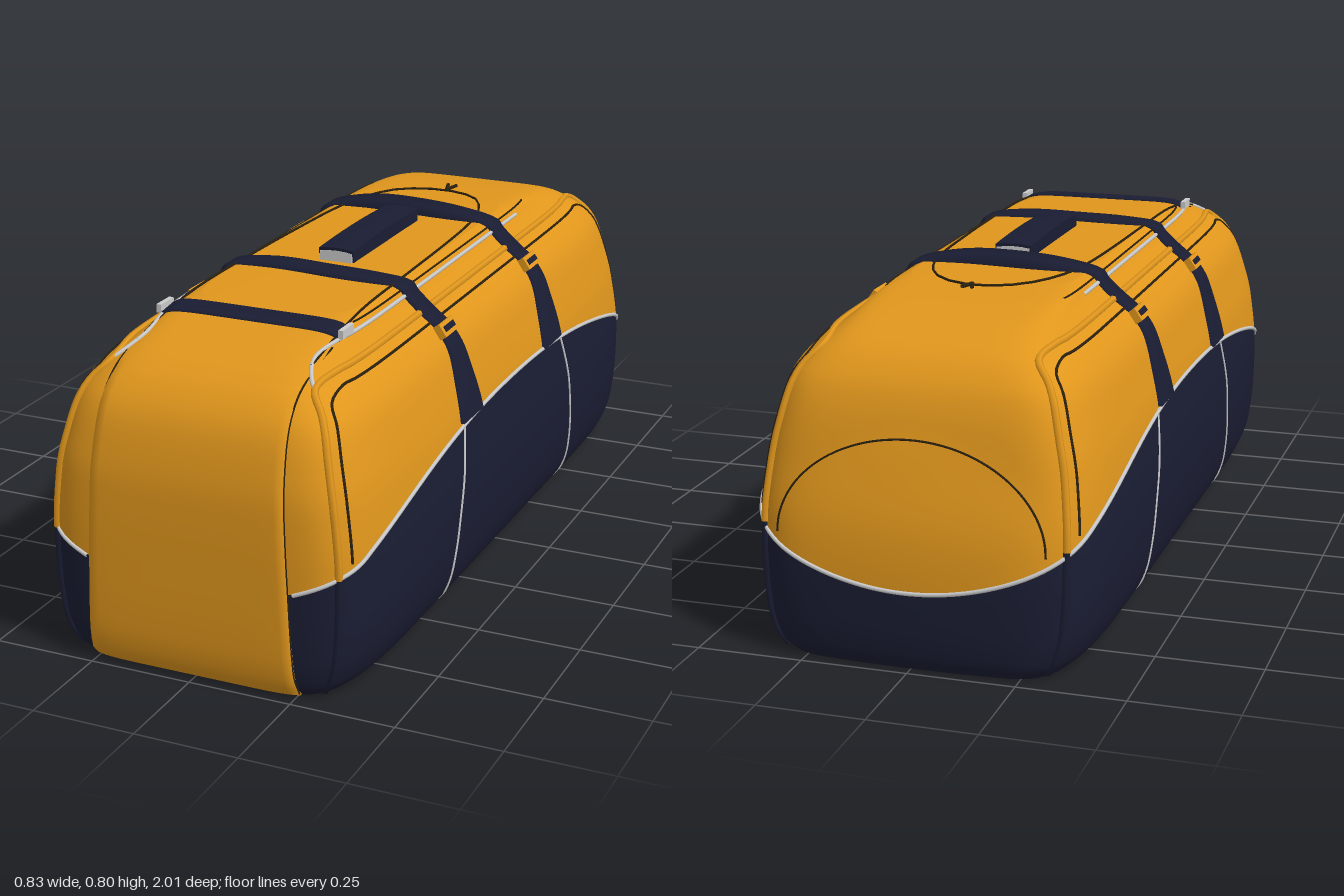
import * as THREE from 'three';
import { mergeVertices } from 'three/addons/utils/BufferGeometryUtils.js';

const mat = (color) => new THREE.MeshStandardMaterial({ color, side: THREE.DoubleSide });
const V = (x, y, z) => new THREE.Vector3(x, y, z);
const { clamp, lerp, smoothstep } = THREE.MathUtils;

// Bag profile: height, half width, reach to the front, reach to the back
const TOP = 0.76, POWER = 8;
const PROFILE = [
  [0, 0.345, 0.96, 0.965], [0.03, 0.375, 0.98, 0.98], [0.1, 0.4, 0.99, 0.985], [0.2, 0.41, 0.992, 0.985],
  [0.3, 0.412, 0.992, 0.98], [0.45, 0.397, 0.988, 0.955], [0.55, 0.373, 0.97, 0.935], [0.62, 0.35, 0.945, 0.91],
  [0.67, 0.312, 0.905, 0.87], [0.7, 0.272, 0.865, 0.83], [0.73, 0.24, 0.78, 0.74], [0.75, 0.225, 0.68, 0.6],
  [TOP, 0.205, 0.58, 0.45],
];

// Smooth, overshoot-free reading of one profile column
function profile(col, y) {
  const P = PROFILE, n = P.length;
  y = clamp(y, 0, TOP);
  let i = 0;
  while (i < n - 2 && y > P[i + 1][0]) i++;
  const rise = (k) => (P[k + 1][col] - P[k][col]) / (P[k + 1][0] - P[k][0]);
  const slope = (k) => {
    if (k === 0) return rise(0);
    if (k === n - 1) return rise(n - 2);
    const s = rise(k - 1), t = rise(k);
    return s * t > 0 ? (2 * s * t) / (s + t) : 0;
  };
  const h = P[i + 1][0] - P[i][0], t = (y - P[i][0]) / h, t2 = t * t, t3 = t2 * t;
  return (2 * t3 - 3 * t2 + 1) * P[i][col] + (t3 - 2 * t2 + t) * h * slope(i)
    + (3 * t2 - 2 * t3) * P[i + 1][col] + (t3 - t2) * h * slope(i + 1);
}
const halfWidth = (y) => profile(1, y);
const reach = (y, b) => profile(b > 0 ? 2 : 3, y);

// Padded bulge of the arched back panel
const bulge = (x, y) => 0.02 * Math.max(0, 1 - (x / 0.33) ** 2 - ((y - 0.24) / 0.29) ** 2);

// Point on the bag wall; (a, b) lies on the edge of a unit square seen from above
function wall(a, b, y, off = 0) {
  const n = Math.pow(Math.abs(a) ** POWER + Math.abs(b) ** POWER, 1 / POWER);
  const x = (a / n) * (halfWidth(y) + off);
  let z = (b / n) * (reach(y, b) + off);
  if (b <= -0.999) z -= bulge(x, y);
  return V(x, y, z);
}
// Point on the front (dir 1) or back (dir -1) end at a given x
function end(x, y, dir, off = 0) {
  const k = Math.max(0, 1 - Math.abs(x / halfWidth(y)) ** POWER) ** (1 / POWER);
  return V(x, y, dir * (reach(y, dir) * k + (dir < 0 ? bulge(x, y) : 0) + off));
}
// Point on the upper surface over (x, z)
function over(x, z, off = 0) {
  let lo = 0.3, hi = TOP;
  for (let i = 0; i < 24; i++) {
    const y = (lo + hi) / 2;
    const inside = Math.abs(x / halfWidth(y)) ** POWER + Math.abs(z / reach(y, z)) ** POWER < 1;
    if (inside) lo = y; else hi = y;
  }
  return V(x, lo + off, z);
}
// Walk around the unit square, starting at the front
function square(u) {
  const k = Math.min(3, Math.floor(u * 4)), t = (u * 4 - k) * 2 - 1;
  return [[t, 1], [1, -t], [-t, -1], [-1, t]][k];
}
// Height of the seam between the two colours
function seam(a, b) {
  if (Math.abs(a) >= 0.9999) return 0.46 - 0.14 * Math.abs(b) ** 2.2;
  if (b > 0) return 0.32 - 0.06 * clamp((1 - Math.abs(a)) / 0.38, 0, 1);
  return 0.32 - 0.13 * (1 - a * a);
}

function grid(nu, nv, f) {
  const pos = [], idx = [];
  for (let j = 0; j <= nv; j++) for (let i = 0; i <= nu; i++) pos.push(...f(i / nu, j / nv, j).toArray());
  for (let j = 0; j < nv; j++) for (let i = 0; i < nu; i++) {
    const p = j * (nu + 1) + i, q = p + nu + 1;
    idx.push(p, p + 1, q + 1, p, q + 1, q);
  }
  let g = new THREE.BufferGeometry();
  g.setAttribute('position', new THREE.Float32BufferAttribute(pos, 3));
  g.setIndex(idx);
  g = mergeVertices(g, 1e-5);
  g.computeVertexNormals();
  return g;
}
const sample = (n, f) => Array.from({ length: n + 1 }, (_, i) => f(i / n));

export function createModel() {
  const bag = new THREE.Group();
  bag.name = 'duffelBag';
  const orange = mat(0xe0961c), navy = mat(0x1a1d33), dark = mat(0x2a2010), grey = mat(0xcccccc);
  const add = (name, geo, m, parent = bag) => {
    const mesh = new THREE.Mesh(geo, m);
    mesh.name = name;
    parent.add(mesh);
    return mesh;
  };
  const cord = (name, pts, r, m, closed = false) =>
    add(name, new THREE.TubeGeometry(new THREE.CatmullRomCurve3(pts, closed), pts.length * 3, r, 6, closed), m);

  // Lower shell with flat base
  add('lowerShell', grid(160, 20, (u, v, j) => {
    const [a, b] = square(u);
    if (j < 3) { const s = [0, 0.6, 0.985][j], p = wall(a, b, 0); return V(p.x * s, 0, p.z * s); }
    return wall(a, b, seam(a, b) * ((j - 3) / 17) ** 1.5);
  }), navy);

  // Upper shell, closed over the top
  add('upperShell', grid(160, 34, (u, v, j) => {
    const [a, b] = square(u);
    if (j > 30) { const s = [0.9, 0.6, 0.3, 0][j - 31], p = wall(a, b, TOP); return V(p.x * s, TOP + 0.003 * (1 - s), p.z * s); }
    const t = 1 - (1 - j / 30) ** 2;
    return wall(a, b, lerp(seam(a, b), TOP, t));
  }), orange);

  // Front panel running down to the floor, edges tucked in
  const panelHalf = (y) => lerp(0.257, 0.222, y / 0.74);
  add('frontPanel', grid(24, 30, (u, v) => {
    const y = 0.004 + 0.736 * v, t = clamp((u * 24 - 1) / 11 - 1, -1, 1);
    const tuck = u === 0 || u === 1 ? -0.012 : 0.009 * (1 - smoothstep(y, 0.6, 0.73));
    return end(t * Math.min(panelHalf(y), halfWidth(y) * 0.96), y, 1, tuck);
  }), orange);

  // Light piping along the colour seam, interrupted by the front panel
  cord('seamPiping', sample(120, (t) => {
    const [a, b] = square((0.25 * 0.81 + t * (1 - 0.25 * 0.62)) % 1);
    return wall(a, b, seam(a, b), 0.001);
  }), 0.005, grey);

  // Stitched arch on the back panel
  cord('backArch', sample(24, (t) => {
    const ang = Math.PI * t;
    return end(0.31 * Math.cos(ang), 0.29 + 0.23 * Math.sin(ang), -1, 0.001);
  }), 0.0025, dark);

  for (const s of [-1, 1]) {
    // Seam beside the front panel
    cord('frontPanelSeam', sample(16, (t) => {
      const y = 0.01 + 0.72 * t;
      return end(s * Math.min(panelHalf(y), halfWidth(y) * 0.96), y, 1, 0.006 * (1 - t));
    }), 0.0025, dark);

    // Raised edge of the side panel: up one corner, along the top, down the other
    const edge = (y0, y1, b, off) => sample(10, (t) => wall(s * 0.88, b, lerp(y0, y1, t), off));
    const along = (y, from, to, off) => sample(24, (t) => wall(s, lerp(from, to, t), y, off));
    cord('sideEdging', [...edge(0.3, 0.685, 1, 0.001), ...along(0.7, 0.93, -0.93, 0.001), ...edge(0.685, 0.3, -1, 0.001)], 0.009, orange);
    cord('sideStitching', [
      ...sample(10, (t) => wall(s * 0.96, 1, lerp(0.33, 0.66, t))), ...along(0.68, 0.93, -0.93, 0.001),
      ...sample(10, (t) => wall(s * 0.96, -1, lerp(0.66, 0.33, t))),
    ], 0.0035, dark);
    for (const b of [1, -1]) cord('lowerCornerEdging', edge(0.012, 0.31, b, 0), 0.009, navy);

    // Zip along the top edge, dipping over the front corner
    cord('topZip', [...edge(0.5, 0.725, 1, 0.002), ...along(0.738, 0.93, -0.6, 0.002)], 0.005, grey);
    cord('topZipSeam', along(0.75, 0.9, -0.9, 0.001), 0.0025, dark);

    // Curved light seams on the lower sides
    for (const d of [1, -1]) cord('lowerSideSeam', sample(14, (t) => {
      const y = 0.008 + 0.445 * t;
      return wall(s, d * (0.43 - 0.08 * t ** 1.6), y, 0);
    }), 0.0035, grey);
  }

  // Stitched outline of the top flap
  const flap = [[0.215, 0.8], [0.21, 0.55], [0.205, 0.25], [0.198, 0], [0.187, -0.2], [0.168, -0.32], [0.12, -0.43], [0.06, -0.478]];
  cord('flapSeam', [...flap.map(([x, z]) => over(x, z, 0.003)), over(0, -0.49, 0.003),
    ...flap.slice().reverse().map(([x, z]) => over(-x, z, 0.003))], 0.003, dark);
  for (const s of [-1, 1]) cord('zipPull', [over(0.012, -0.49, 0.006), over(0.012 + s * 0.012, -0.53, 0.01)], 0.005, dark);

  // Compression straps: broad at the sides, narrow across the top
  function strap(zc, lift) {
    const heights = [0.455, 0.5, 0.56, 0.62, 0.66, 0.7, 0.73, 0.75];
    const half = [...heights.map((y) => V(halfWidth(y), y, 0)), V(0.15, 0.761, 0)];
    const path = new THREE.CatmullRomCurve3([...half, V(0, 0.762, 0), ...half.slice().reverse().map((p) => V(-p.x, p.y, 0))]);
    const across = [[-1, -0.012], [-1, 0.009], [1, 0.009], [1, -0.012]];
    add('strap', grid(72, 3, (u, v, j) => {
      const p = path.getPoint(u), [side, off] = across[j];
      const hw = lerp(0.064, 0.029, smoothstep(p.y, 0.42, 0.69));
      const arch = lift * Math.max(0, 1 - (p.x / 0.22) ** 2);
      const x = p.x + Math.sign(p.x) * off * smoothstep(Math.abs(p.x), 0.12, 0.26);
      const z = zc + 0.008 * Math.sin(p.x * 14) * (1 - smoothstep(Math.abs(p.x), 0.2, 0.35));
      return V(x, p.y + off * smoothstep(p.y, 0.45, 0.72) + (off > 0 ? arch : 0), z + side * hw);
    }), navy);
    for (const s of [-1, 1]) {
      const buckle = new THREE.Group();
      buckle.name = 'buckle';
      add('buckleFrame', new THREE.BoxGeometry(0.018, 0.034, 0.082), orange, buckle);
      add('buckleBar', new THREE.BoxGeometry(0.022, 0.014, 0.058), navy, buckle);
      buckle.position.set(s * (halfWidth(0.66) + 0.01), 0.665, zc);
      buckle.rotation.z = s * 0.6;
      bag.add(buckle);
    }
  }
  strap(0.305, 0.004);
  strap(-0.265, 0.02);

  // Short strap near the front
  add('frontStrap', grid(24, 3, (u, v, j) => {
    const z = 0.645 + [-0.028, -0.028, 0.028, 0.028][j];
    return over(lerp(-0.225, 0.225, u), z, j % 3 ? 0.008 : -0.006);
  }), navy);
  for (const s of [-1, 1]) add('frontStrapEnd', new THREE.BoxGeometry(0.012, 0.02, 0.06), grey).position.set(s * 0.228, 0.75, 0.645);

  // Grab handle: padded core with a dark cover, slightly bowed
  const slab = (w, h, y, len) => {
    const g = new THREE.BoxGeometry(w, h, len, 4, 1, 12), p = g.attributes.position;
    for (let i = 0; i < p.count; i++) {
      const x = p.getX(i) / w, z = p.getZ(i) / len;
      p.setY(i, p.getY(i) + y - 0.016 * x * x - 0.02 * z * z);
    }
    g.computeVertexNormals();
    return g.translate(0.008, 0, 0.015);
  };
  add('handleCore', slab(0.084, 0.034, 0.777, 0.41), grey);
  add('handleCover', slab(0.09, 0.014, 0.794, 0.408), navy);
  for (const s of [-1, 1]) add('handleSide', slab(0.006, 0.03, 0.773, 0.4), navy).position.x = s * 0.042;

  return bag;
}
